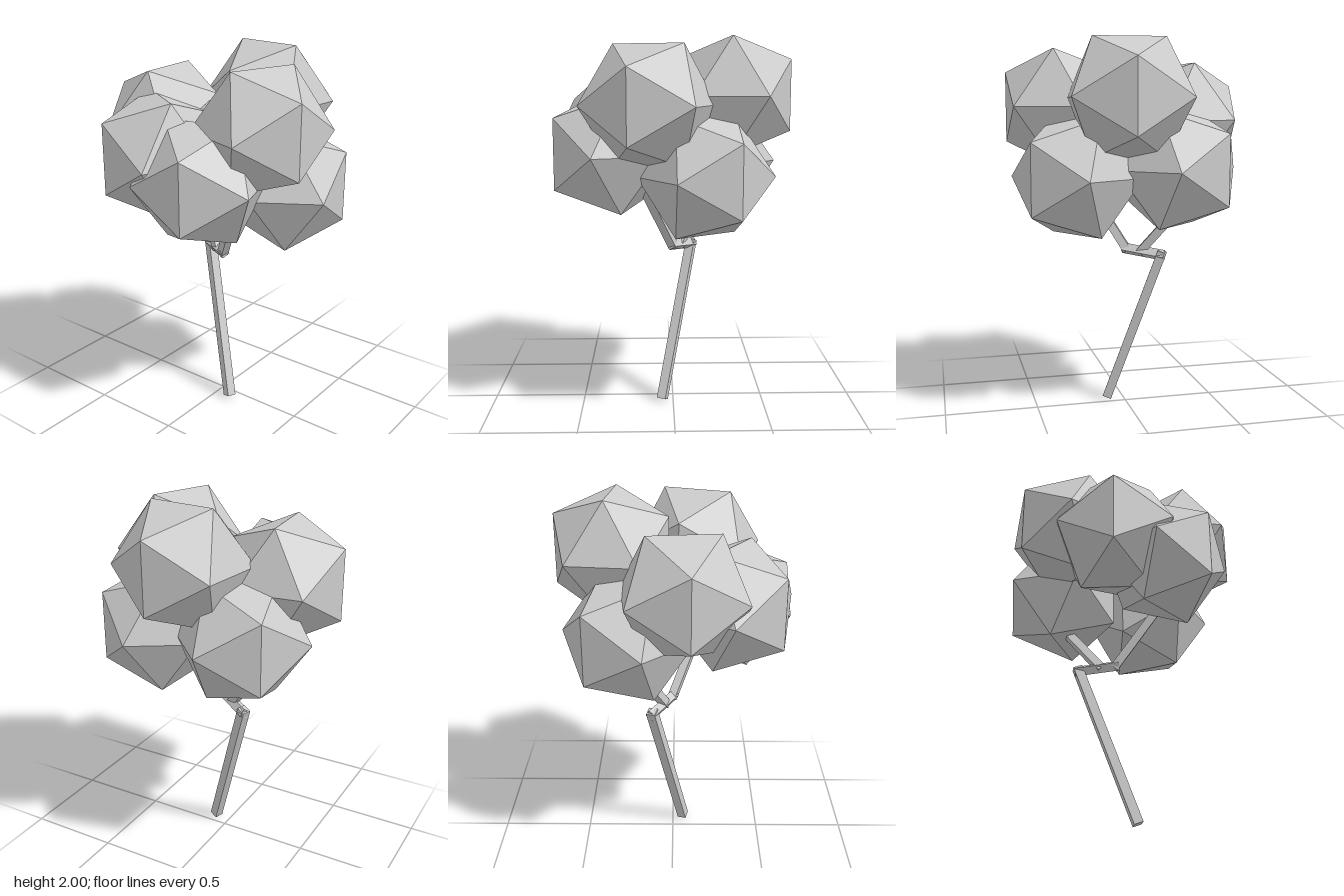
import * as THREE from 'three';

const material = new THREE.MeshStandardMaterial({ color: 0xcccccc, flatShading: true });

// Square bar between two points, overrunning each end slightly so joints close
function strut(name, from, to, width, twist = 0, overrun = 0.02) {
  const a = new THREE.Vector3(...from), b = new THREE.Vector3(...to);
  const dir = b.clone().sub(a);
  const mesh = new THREE.Mesh(
    new THREE.BoxGeometry(width, dir.length() + overrun * 2, width), material);
  mesh.name = name;
  mesh.position.copy(a).add(b).multiplyScalar(0.5);
  mesh.quaternion.setFromUnitVectors(new THREE.Vector3(0, 1, 0), dir.normalize());
  mesh.rotateY(twist);
  return mesh;
}

export function createModel() {
  const model = new THREE.Group();
  model.name = 'tree';

  // Leaning trunk, crooked back to the middle, with two branches
  const wood = new THREE.Group();
  wood.name = 'wood';
  const knee = [0.108, 0.855, -0.175], fork = [0.0, 0.88, -0.005];
  wood.add(
    strut('trunk', [-0.057, 0.035, 0.085], knee, 0.05, -0.35),
    strut('crook', knee, fork, 0.045),
    strut('leftBranch', fork, [-0.16, 1.24, 0.2], 0.045, -0.35, 0.015),
    strut('rightBranch', [0.045, 0.875, -0.08], [0.19, 1.2, -0.33], 0.045, -0.35, 0.015));
  model.add(wood);

  // Ring of seven leaf clumps, each with an upright edge facing outward
  const foliage = new THREE.Group();
  foliage.name = 'foliage';
  const clump = new THREE.IcosahedronGeometry(0.356, 0);
  const centres = [
    [0.32, 1.7, 0.055], [0.164, 1.293, 0.3], [-0.13, 1.655, 0.335], [-0.335, 1.4, 0.116],
    [-0.303, 1.485, -0.169], [-0.055, 1.585, -0.325], [0.226, 1.333, -0.226],
  ];
  centres.forEach((centre, i) => {
    const angle = THREE.MathUtils.degToRad(6.4) + i * Math.PI * 2 / 7;
    const mesh = new THREE.Mesh(clump, material);
    mesh.name = `leafClump${i + 1}`;
    mesh.position.set(...centre);
    mesh.rotation.y = Math.PI / 2 - angle;
    foliage.add(mesh);
  });
  model.add(foliage);

  return model;
}
